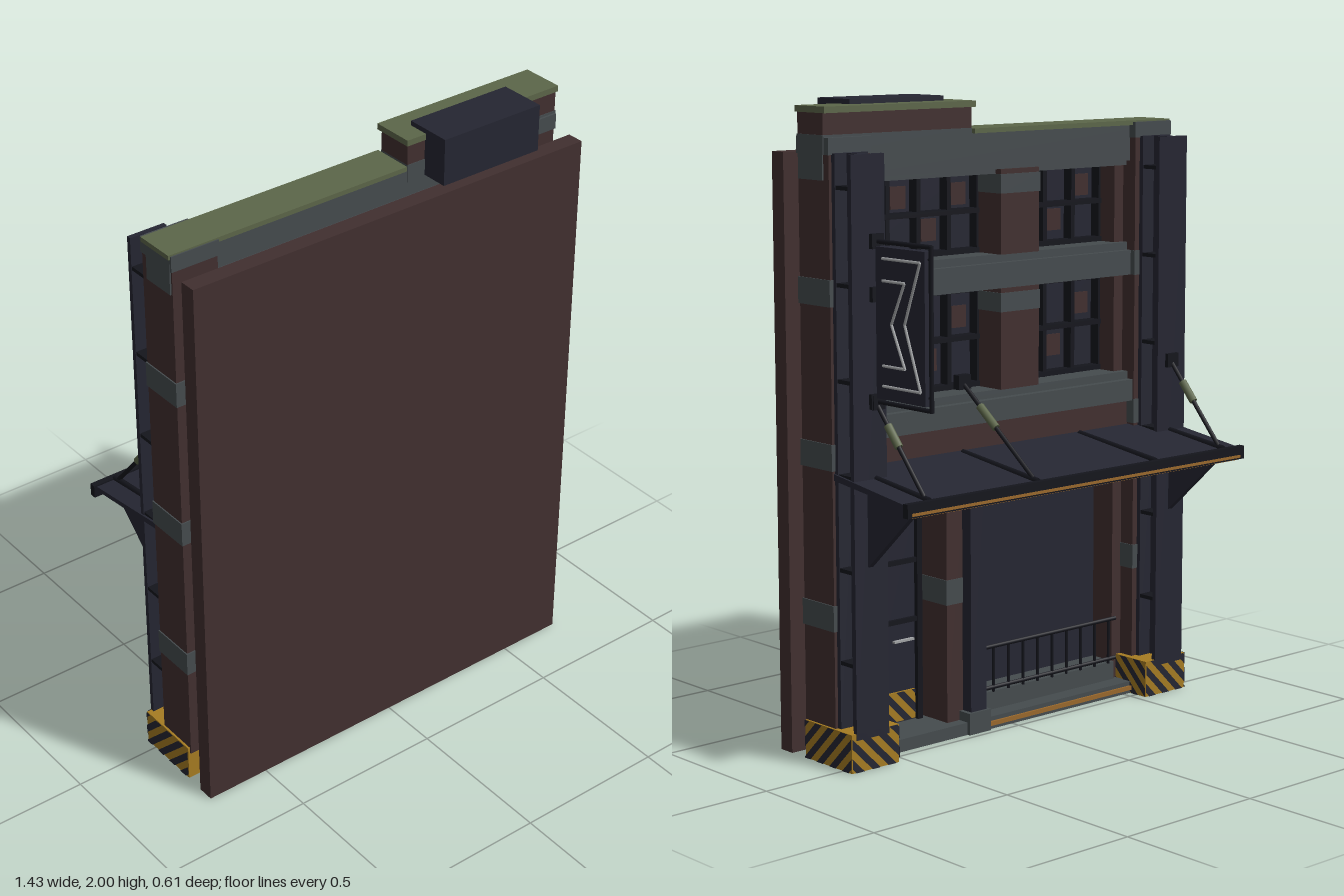
import * as THREE from 'three';

const mat = (name, color, side = THREE.FrontSide) => {
  const m = new THREE.MeshStandardMaterial({ color, side });
  m.name = name;
  return m;
};

export function createModel() {
  const root = new THREE.Group();
  root.name = 'streetFacade';
  const brick = mat('brick', 0x412f2f);
  const stone = mat('stone', 0x454b4e);
  const steel = mat('blueSteel', 0x252632, THREE.DoubleSide);
  const black = mat('blackMetal', 0x14151c);
  const olive = mat('oliveTrim', 0x5c6649);
  const yellow = mat('hazardYellow', 0xa67c22);
  const light = mat('paleLight', 0xa2a4a6);
  const rust = mat('rustOrange', 0x99682c);

  const add = (name, geo, material) => {
    const m = new THREE.Mesh(geo, material);
    m.name = name;
    root.add(m);
    return m;
  };
  // Box given by its limits on each axis
  const box = (name, material, x0, x1, y0, y1, z0, z1) => {
    const m = add(name, new THREE.BoxGeometry(Math.abs(x1 - x0), y1 - y0, z1 - z0), material);
    m.position.set((x0 + x1) / 2, (y0 + y1) / 2, (z0 + z1) / 2);
    return m;
  };
  // Round bar between two points
  const bar = (name, material, a, b, r, sides = 8) => {
    const p = new THREE.Vector3(...a), q = new THREE.Vector3(...b);
    const d = q.clone().sub(p);
    const m = add(name, new THREE.CylinderGeometry(r, r, d.length(), sides), material);
    m.position.copy(p).add(q).multiplyScalar(0.5);
    m.quaternion.setFromUnitVectors(new THREE.Vector3(0, 1, 0), d.normalize());
    return m;
  };
  // Diagonal stripes clipped to a w by h rectangle
  const stripes = (w, h, flip) => {
    const shapes = [], step = 0.062;
    const low = c => [Math.min(c, w), c - Math.min(c, w)];
    const high = c => [c - Math.min(c, h), Math.min(c, h)];
    for (let a = 0.015; a < w + h; a += step) {
      const b = Math.min(a + step / 2, w + h);
      const pts = [low(a)];
      if (a < w && w < b) pts.push([w, 0]);
      pts.push(low(b), high(b));
      if (a < h && h < b) pts.push([0, h]);
      pts.push(high(a));
      shapes.push(new THREE.Shape(pts.map(([u, v]) => new THREE.Vector2((flip ? w - u : u) - w / 2, v))));
    }
    return new THREE.ShapeGeometry(shapes);
  };

  // Rear wall panel
  box('rearPanel', brick, -0.715, 0.715, 0, 1.845, 0.25, 0.305);

  // Roof line: stone band, raised parapet and caps
  box('roofBand', stone, -0.71, 0.71, 1.77, 1.885, 0.07, 0.185);
  box('lowCap', olive, -0.715, 0.13, 1.885, 1.9, 0.055, 0.19);
  box('parapet', brick, 0.135, 0.71, 1.9, 1.968, 0.065, 0.185);
  box('parapetBand', stone, 0.135, 0.712, 1.845, 1.902, 0.063, 0.187);
  box('highCap', olive, 0.13, 0.715, 1.966, 1.985, 0.05, 0.19);
  box('roofUnit', steel, 0.2, 0.565, 1.85, 2, 0.12, 0.275);

  for (const s of [-1, 1]) {
    // Brick side pilasters with stone courses
    box('pilaster', brick, s * 0.55, s * 0.705, 0.1, 1.86, 0.045, 0.19);
    for (const y of [0.42, 0.91, 1.4, 1.845])
      box('pilasterCourse', stone, s * 0.547, s * 0.709, y, y + (y > 1.8 ? 0.05 : 0.08), 0.042, 0.194);
    box('innerJamb', brick, s * 0.51, s * 0.55, 0.04, 1.78, 0.1, 0.19);

    // Steel columns with stiffeners
    box('columnFrontFlange', steel, s * 0.57, s * 0.695, 0.1, 1.85, -0.045, -0.03);
    box('columnRearFlange', steel, s * 0.57, s * 0.695, 0.1, 1.85, 0.03, 0.045);
    box('columnWeb', steel, s * 0.62, s * 0.65, 0.1, 1.85, -0.032, 0.032);
    for (let i = 0; i < 6; i++)
      box('columnStiffener', black, s * 0.572, s * 0.693, 0.32 + i * 0.285, 0.332 + i * 0.285, -0.032, 0.032);

    // Striped column bases
    box('hazardBase', yellow, s * 0.53, s * 0.712, 0, 0.12, -0.042, 0.185);
    const side = add('hazardSideStripes', stripes(0.227, 0.12, true), steel);
    side.rotation.y = s * Math.PI / 2;
    side.position.set(s * 0.715, 0, 0.0715);
    const inner = add('hazardInnerStripes', stripes(0.14, 0.12, false), steel);
    inner.rotation.y = -s * Math.PI / 2;
    inner.position.set(s * 0.527, 0, 0.028);
    const front = add('hazardFrontStripes', stripes(0.182, 0.12, false), steel);
    front.rotation.y = Math.PI;
    front.position.set(s * 0.621, 0, -0.045);

    // Triangular awning brackets
    const tri = new THREE.Shape([[0.04, 0.62], [0.28, 0.84], [0.04, 0.885]].map(p => new THREE.Vector2(...p)));
    const geo = new THREE.ExtrudeGeometry(tri, { depth: 0.02, bevelEnabled: false });
    add('awningBracket', geo.rotateY(Math.PI / 2), steel).position.x = s * 0.635 - 0.01;
  }

  // Upper storey: stone ledges, brick spandrel and central pier
  box('upperLintel', stone, -0.55, 0.55, 1.755, 1.8, 0.085, 0.19);
  box('middleLedge', stone, -0.55, 0.55, 1.4, 1.48, 0.06, 0.19);
  box('middleSill', stone, -0.55, 0.55, 1.48, 1.505, 0.08, 0.19);
  box('lowerLedge', stone, -0.55, 0.55, 0.985, 1.055, 0.05, 0.19);
  box('lowerSill', stone, -0.55, 0.55, 1.055, 1.08, 0.075, 0.19);
  box('spandrel', brick, -0.55, 0.55, 0.84, 0.985, 0.075, 0.19);
  for (const [y0, y1] of [[1.08, 1.4], [1.505, 1.77]]) {
    box('centrePier', brick, -0.14, 0.02, y0, y1, 0.06, 0.19);
    box('pierCap', stone, -0.143, 0.023, y1 - 0.075, y1 - 0.015, 0.057, 0.19);
    // Gridded windows either side of the pier
    for (const [x0, x1] of [[-0.51, -0.14], [0.02, 0.51]]) {
      const w = x1 - x0, h = y1 - y0;
      box('windowPane', steel, x0, x1, y0, y1, 0.2, 0.21);
      const cols = w > 0.4 ? 4 : 3;
      for (let i = 0; i <= cols; i++) {
        const x = x0 + w * i / cols;
        box('windowMullion', black, x - 0.008, x + 0.008, y0, y1, 0.165, 0.2);
      }
      for (const t of [0.03, 0.5, 0.97])
        box('windowTransom', black, x0, x1, y0 + h * t - 0.008, y0 + h * t + 0.008, 0.16, 0.2);
      for (let i = 0; i < cols; i++) {
        const x = x0 + w * (i + 0.5) / cols, y = y0 + h * (i % 2 ? 0.3 : 0.7);
        box('brickGlimpse', brick, x - 0.035, x + 0.025, y - 0.035, y + 0.035, 0.196, 0.201);
      }
    }
  }

  // Street level: base, lintel and dividing pier
  box('threshold', stone, -0.55, 0.55, 0, 0.04, 0.03, 0.245);
  box('thresholdTrim', rust, -0.53, 0.12, 0.012, 0.026, 0.022, 0.03);
  box('shopLintel', stone, -0.55, 0.55, 0.77, 0.85, 0.09, 0.19);
  box('dividingPier', brick, 0.165, 0.24, 0.04, 0.8, 0.07, 0.19);
  box('dividingCourse', stone, 0.162, 0.243, 0.42, 0.5, 0.067, 0.19);
  box('dividingPost', steel, 0.11, 0.175, 0.06, 0.88, 0.03, 0.1);
  box('postFoot', stone, 0.1, 0.19, 0, 0.07, 0.02, 0.12);

  // Shop shutter, sill and railing
  box('shutter', steel, -0.53, 0.155, 0.04, 0.8, 0.19, 0.212);
  box('shutterBox', steel, -0.51, 0.12, 0.7, 0.78, 0.12, 0.19);
  box('shopSill', stone, -0.51, 0.12, 0.04, 0.1, 0.09, 0.19);
  for (const y of [0.115, 0.25])
    bar('railing', black, [-0.51, y, 0.085], [0.12, y, 0.085], 0.007);
  for (let i = 0; i < 10; i++)
    bar('railingBar', black, [-0.48 + i * 0.064, 0.1, 0.085], [-0.48 + i * 0.064, 0.25, 0.085], 0.005, 6);

  // Recessed doorway
  box('doorRecess', brick, 0.2, 0.55, 0, 0.795, 0.215, 0.244);
  box('recessCourse', stone, 0.198, 0.552, 0.41, 0.48, 0.213, 0.246);
  box('door', steel, 0.27, 0.48, 0.04, 0.75, 0.18, 0.215);
  for (const x of [0.26, 0.475])
    box('doorJamb', black, x, x + 0.02, 0.04, 0.77, 0.165, 0.215);
  for (const y of [0.36, 0.55, 0.75])
    box('doorRail', black, 0.27, 0.48, y, y + 0.015, 0.168, 0.18);
  box('doorHandle', light, 0.29, 0.37, 0.3, 0.307, 0.168, 0.18);
  box('doorKickPlate', yellow, 0.285, 0.47, 0.045, 0.14, 0.173, 0.18);
  const kick = add('doorKickStripes', stripes(0.185, 0.095, false), steel);
  kick.rotation.y = Math.PI;
  kick.position.set(0.3775, 0.045, 0.171);

  // Sloping awning with fascia, ribs and underside lights
  const profile = new THREE.Shape([[-0.07, 0.885], [0.29, 0.842], [0.29, 0.856], [-0.07, 0.905]].map(p => new THREE.Vector2(...p)));
  const slab = new THREE.ExtrudeGeometry(profile, { depth: 1.4, bevelEnabled: false });
  add('awningSlab', slab.rotateY(Math.PI / 2), steel).position.x = -0.7;
  box('awningFascia', black, -0.71, 0.705, 0.82, 0.862, -0.303, -0.282);
  box('fasciaTrim', rust, -0.69, 0.69, 0.825, 0.834, -0.305, -0.302);
  box('fasciaUnderTrim', rust, -0.69, 0.69, 0.818, 0.821, -0.299, -0.288);
  for (const x of [-0.63, -0.32, 0.18, 0.61]) {
    bar('awningRib', black, [x, 0.902, 0.06], [x, 0.86, -0.285], 0.01, 6);
    bar('awningUnderRib', black, [x, 0.88, 0.06], [x, 0.84, -0.285], 0.012, 6);
  }
  for (const z of [-0.22, -0.03])
    box('awningLightStrip', light, -0.5, 0.5, 0.839 + (z + 0.22) * 0.12, 0.847 + (z + 0.22) * 0.12, z - 0.005, z + 0.005);
  for (const x of [-0.25, 0.33])
    bar('hangingLamp', olive, [x, 0.8, 0.04], [x, 0.86, 0.04], 0.016);

  // Awning stay rods with turnbuckles
  for (const [x, z] of [[-0.63, -0.045], [0.18, 0.06], [0.61, -0.045]]) {
    const a = new THREE.Vector3(x, 1.12, z), b = new THREE.Vector3(x, 0.865, -0.265);
    const at = t => a.clone().lerp(b, t).toArray();
    bar('stayRod', black, at(0), at(1), 0.007);
    bar('turnbuckle', olive, at(0.25), at(0.48), 0.013);
    box('stayAnchor', black, x - 0.025, x + 0.025, 1.1, 1.145, z - 0.012, z + 0.015);
  }

  // Projecting sign: panel inside an open frame
  box('signPanel', steel, 0.592, 0.623, 1.135, 1.583, -0.287, -0.066);
  for (const y of [1.122, 1.596])
    bar('signFrameRail', black, [0.608, y, -0.03], [0.608, y, -0.3], 0.007);
  bar('signFrameEdge', black, [0.608, 1.117, -0.298], [0.608, 1.6, -0.298], 0.007);
  for (const y of [1.12, 1.44, 1.596])
    box('signMount', black, 0.585, 0.63, y - 0.022, y + 0.022, -0.06, -0.043);
  for (const y of [1.16, 1.56])
    bar('signTie', black, [0.608, y, -0.07], [0.608, y, -0.298], 0.004, 6);

  // Zigzag light strips on both sign faces
  const zigzags = [
    [[1.55, -0.1], [1.55, -0.27], [1.365, -0.2], [1.175, -0.27], [1.175, -0.1]],
    [[1.485, -0.1], [1.485, -0.2], [1.36, -0.14], [1.235, -0.2], [1.235, -0.1]],
  ];
  for (const x of [0.589, 0.626])
    for (const line of zigzags)
      for (let i = 1; i < line.length; i++)
        bar('signLightStrip', light, [x, ...line[i - 1]], [x, ...line[i]], 0.0045, 6);

  return root;
}
